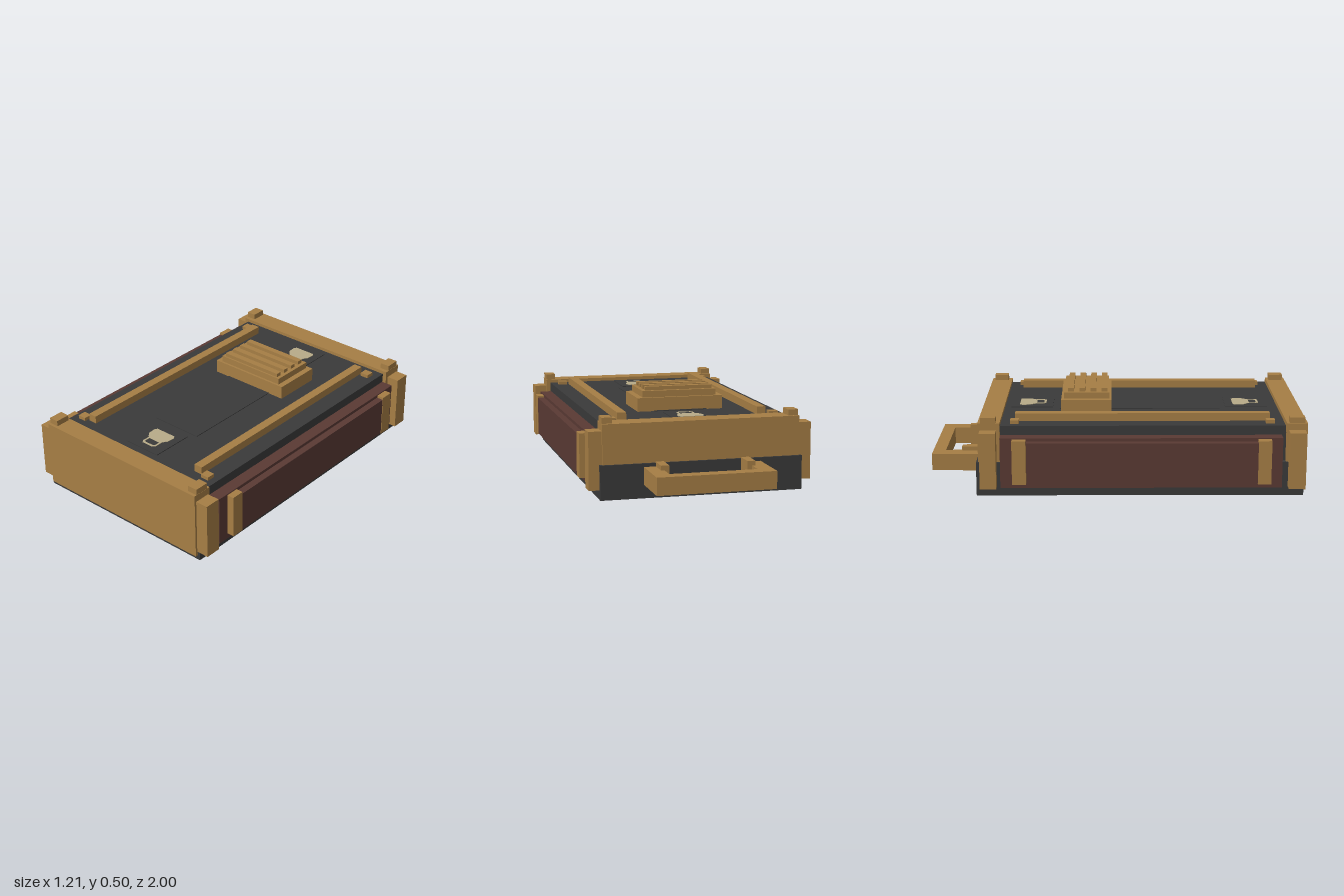
import * as THREE from 'three';

const mat = (name, color, extra = {}) => new THREE.MeshStandardMaterial({ name, color, ...extra });

export function createModel() {
  const brass = mat('brass', 0xa67e45);
  const charcoal = mat('charcoal', 0x3a3a3a);
  const maroon = mat('maroon', 0x5a3a34);
  const cream = mat('cream', 0xb8ab88);

  const model = new THREE.Group();
  model.name = 'armouredCase';

  // Box given by its limits on each axis
  const box = (name, material, x0, x1, y0, y1, z0, z1) => {
    const mesh = new THREE.Mesh(new THREE.BoxGeometry(x1 - x0, y1 - y0, z1 - z0), material);
    mesh.position.set((x0 + x1) / 2, (y0 + y1) / 2, (z0 + z1) / 2);
    mesh.name = name;
    model.add(mesh);
  };
  const centred = (name, material, w, ...rest) => box(name, material, -w, w, ...rest);
  const pair = (name, material, x0, x1, ...rest) => {
    box(name + 'Left', material, x0, x1, ...rest);
    box(name + 'Right', material, -x1, -x0, ...rest);
  };

  // Body and lid
  centred('base', charcoal, 0.536, 0, 0.18, -0.74, 0.984);
  centred('core', charcoal, 0.495, 0.18, 0.33, -0.62, 0.89);
  centred('lid', charcoal, 0.5, 0.32, 0.37, -0.615, 0.886);

  // Stepped side panels with end strips
  pair('sidePanel', maroon, 0.48, 0.565, 0.05, 0.32, -0.612, 0.866);
  pair('sideInset', maroon, 0.56, 0.603, 0.085, 0.303, -0.472, 0.735);
  for (const [z0, z1] of [[0.735, 0.805], [-0.548, -0.475]])
    pair('sideStrip', brass, 0.55, 0.604, 0.08, 0.314, z0, z1);

  // End bars, corner posts and knobs
  centred('frontPlate', brass, 0.522, 0.024, 0.388, 0.889, 0.998);
  centred('backBar', brass, 0.522, 0.18, 0.388, -0.73, -0.614);
  for (const [z0, z1] of [[0.9, 0.987], [-0.718, -0.632]]) {
    pair('cornerPost', brass, 0.49, 0.591, 0.049, 0.351, z0, z1);
    pair('cornerKnob', brass, 0.467, 0.521, 0.38, 0.419, z0 + 0.004, z1 - 0.004);
  }

  // Lid rails and studs
  pair('rail', brass, 0.354, 0.402, 0.365, 0.412, -0.54, 0.812);
  for (const z of [-0.54, 0.81])
    pair('stud', brass, 0.415, 0.463, 0.365, 0.389, z - 0.023, z + 0.023);

  // Centre plate and ribbed block
  centred('centrePlate', charcoal, 0.145, 0.368, 0.374, -0.31, 0.565);
  centred('blockBase', brass, 0.236, 0.365, 0.443, -0.301, -0.028);
  centred('blockStep', brass, 0.204, 0.44, 0.478, -0.285, -0.04);
  for (let i = 0; i < 4; i++) {
    const z = -0.248 + i * 0.061;
    centred('rib', brass, 0.185, 0.47, 0.498, z - 0.016, z + 0.016);
  }

  // Flat cream emblem: rounded head above a thin hook
  const head = new THREE.Shape();
  head.moveTo(-0.06, 0.045);
  head.lineTo(0.06, 0.045);
  head.lineTo(0.07, 0.03);
  head.lineTo(0.066, -0.015);
  head.lineTo(0.045, -0.04);
  head.lineTo(-0.045, -0.04);
  head.lineTo(-0.066, -0.015);
  head.lineTo(-0.07, 0.03);
  const jaw = new THREE.Shape([
    [-0.04, -0.04], [0.05, -0.04], [0.05, -0.085], [0.035, -0.1], [-0.03, -0.1], [-0.04, -0.085],
  ].map(([x, y]) => new THREE.Vector2(x, y)));
  jaw.holes.push(new THREE.Path([
    [-0.03, -0.048], [-0.03, -0.082], [-0.022, -0.088], [0.03, -0.088], [0.04, -0.08], [0.04, -0.048],
  ].map(([x, y]) => new THREE.Vector2(x, y))));
  for (const z of [-0.49, 0.69]) {
    centred('emblemPlate', charcoal, 0.11, 0.368, 0.374, z - 0.09, z + 0.14);
    const emblem = new THREE.Mesh(
      new THREE.ExtrudeGeometry([head, jaw], { depth: 0.003, bevelEnabled: false }), cream);
    emblem.rotation.x = -Math.PI / 2;
    emblem.position.set(0, 0.3735, z);
    emblem.name = 'emblem';
    model.add(emblem);
  }

  // Carrying handle
  centred('handleGrip', brass, 0.31, 0.07, 0.162, -1, -0.932);
  pair('handleArm', brass, 0.23, 0.31, 0.07, 0.162, -0.932, -0.735);
  pair('handleBracket', brass, 0.205, 0.248, 0.048, 0.186, -0.842, -0.735);

  return model;
}
